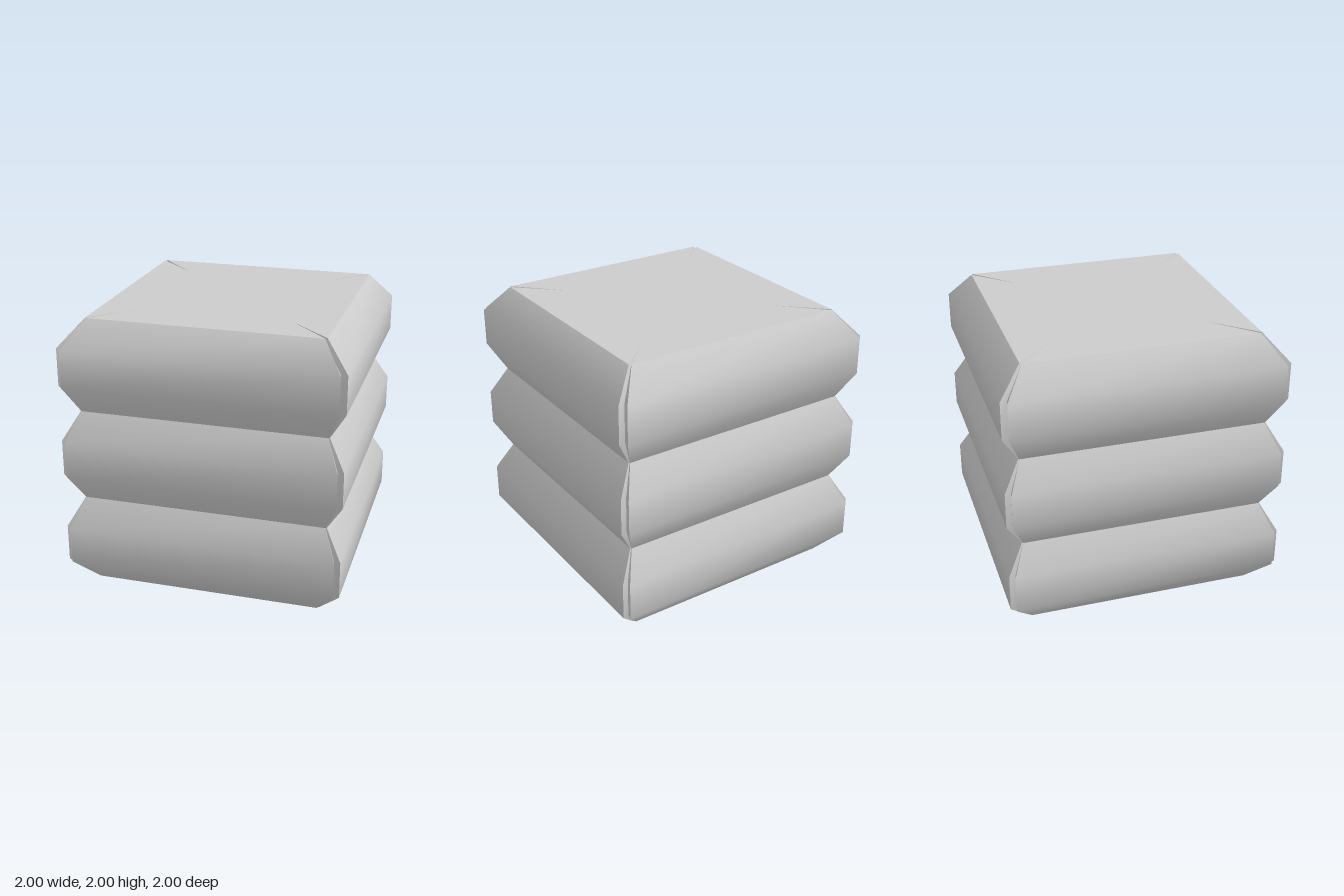
import * as THREE from 'three';

// Profile rows per tier: [y, half width, face end, notch position, notch y]
const TIERS = {
  lowerTier: [[0, 0.835, 0.822, 0.822, 0.03], [0.19, 1, 0.965, 0.955, 0.19], [0.46, 1, 0.965, 0.955, 0.46], [0.67, 0.882, 0.875, 0.872, 0.67]],
  middleTier: [[0.67, 0.882, 0.875, 0.872, 0.67], [0.87, 1, 0.963, 0.955, 0.87], [1.13, 1, 0.963, 0.955, 1.13], [1.335, 0.882, 0.875, 0.872, 1.335]],
  upperTier: [[1.335, 0.882, 0.875, 0.872, 1.335], [1.54, 1, 0.96, 0.95, 1.54], [1.81, 1, 0.96, 0.95, 1.81], [2, 0.835, 0.822, 0.822, 1.97]],
};
const TIP = 0.53; // inner end of the diagonal cap creases

const material = new THREE.MeshStandardMaterial({ color: 0xcccccc });

function makeMesh(name, points, index) {
  const g = new THREE.BufferGeometry();
  g.setAttribute('position', new THREE.Float32BufferAttribute(points.flat(), 3));
  if (index) g.setIndex(index);
  g.computeVertexNormals();
  const mesh = new THREE.Mesh(g, material);
  mesh.name = name;
  return mesh;
}

// Strip between two vertical columns; normals stay smooth up the profile only
function makeStrip(name, left, right) {
  const index = [];
  const n = left.length;
  for (let j = 0; j < n - 1; j++) {
    index.push(j, n + j, n + j + 1, j, n + j + 1, j + 1);
  }
  return makeMesh(name, [...left, ...right], index);
}

// One side of a tier: the bulging face and the notched corner to its right
function makeSide(rows) {
  const side = new THREE.Group();
  const start = rows.map(([y, r, c]) => [-c, y, r]);
  const end = rows.map(([y, r, c]) => [c, y, r]);
  const notch = rows.map(([, , , n, ny]) => [n, ny, n]);
  const next = rows.map(([y, r, c]) => [r, y, c]);
  side.add(makeStrip('bulgingFace', start, end));
  side.add(makeStrip('cornerNotchA', end, notch));
  side.add(makeStrip('cornerNotchB', notch, next));
  return side;
}

// One quarter of a flat cap, with the corner crease to its right
function makeCapQuarter(name, [y, r, c, n, ny], up) {
  const o = [0, y, 0], a = [-TIP, y, TIP], b = [-c, y, r], d = [c, y, r];
  const tip = [TIP, y, TIP], v = [n, ny, n], e = [r, y, c];
  const tris = [[o, a, b], [o, b, d], [o, d, tip], [tip, d, v], [tip, v, e]];
  return makeMesh(name, tris.flatMap(([p, q, s]) => (up ? [p, q, s] : [p, s, q])));
}

export function createModel() {
  const model = new THREE.Group();
  model.name = 'tieredBlock';

  // Three stacked bulging tiers
  for (const [name, rows] of Object.entries(TIERS)) {
    const tier = new THREE.Group();
    tier.name = name;
    for (let k = 0; k < 4; k++) {
      const side = makeSide(rows);
      side.name = 'side' + (k + 1);
      side.rotation.y = k * Math.PI / 2;
      tier.add(side);
    }
    model.add(tier);
  }

  // Flat top and base with a crease at each corner
  for (let k = 0; k < 4; k++) {
    const top = makeCapQuarter('topPanel', TIERS.upperTier[3], true);
    const base = makeCapQuarter('basePanel', TIERS.lowerTier[0], false);
    top.rotation.y = base.rotation.y = k * Math.PI / 2;
    model.add(top, base);
  }
  return model;
}
